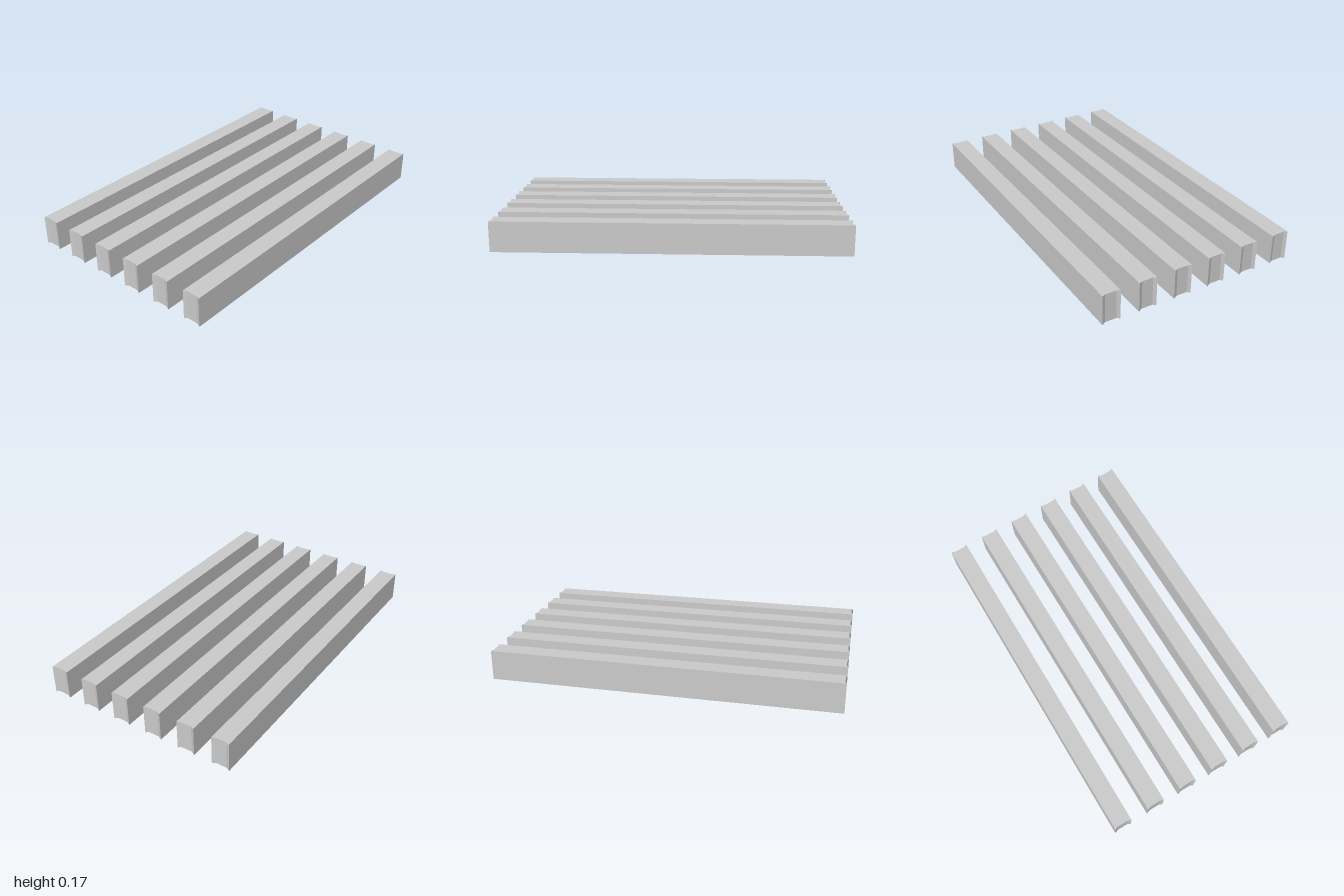
import * as THREE from 'three';

const WIDTH = 0.105, HEIGHT = 0.175, LENGTH = 2;
const COUNT = 6, PITCH = 0.215;
const GROOVE_HALF = 0.0325; // half width of the flat groove floor
const END_DEPTH = 0.008, BOTTOM_DEPTH = 0.006;

// Bar with a shallow sloped groove along its underside and down both ends
function barGeometry() {
  const box = new THREE.BoxGeometry(WIDTH, HEIGHT, LENGTH, 3, 1, 1);
  const p = box.attributes.position;
  for (let i = 0; i < p.count; i++) {
    const x = p.getX(i);
    if (Math.abs(x) > WIDTH * 0.4) continue; // outer edges stay put
    p.setX(i, Math.sign(x) * GROOVE_HALF);
    p.setZ(i, p.getZ(i) - Math.sign(p.getZ(i)) * END_DEPTH);
    if (p.getY(i) < 0) p.setY(i, p.getY(i) + BOTTOM_DEPTH);
  }
  const flat = box.toNonIndexed();
  flat.computeVertexNormals();
  return flat;
}

export function createModel() {
  const group = new THREE.Group();
  group.name = 'barSet';
  const material = new THREE.MeshStandardMaterial({ color: 0xcccccc, flatShading: true });
  const geometry = barGeometry();

  // Evenly spaced parallel bars
  for (let i = 0; i < COUNT; i++) {
    const bar = new THREE.Mesh(geometry, material);
    bar.name = `bar${i + 1}`;
    bar.position.set((i - (COUNT - 1) / 2) * PITCH, HEIGHT / 2, 0);
    group.add(bar);
  }
  return group;
}
